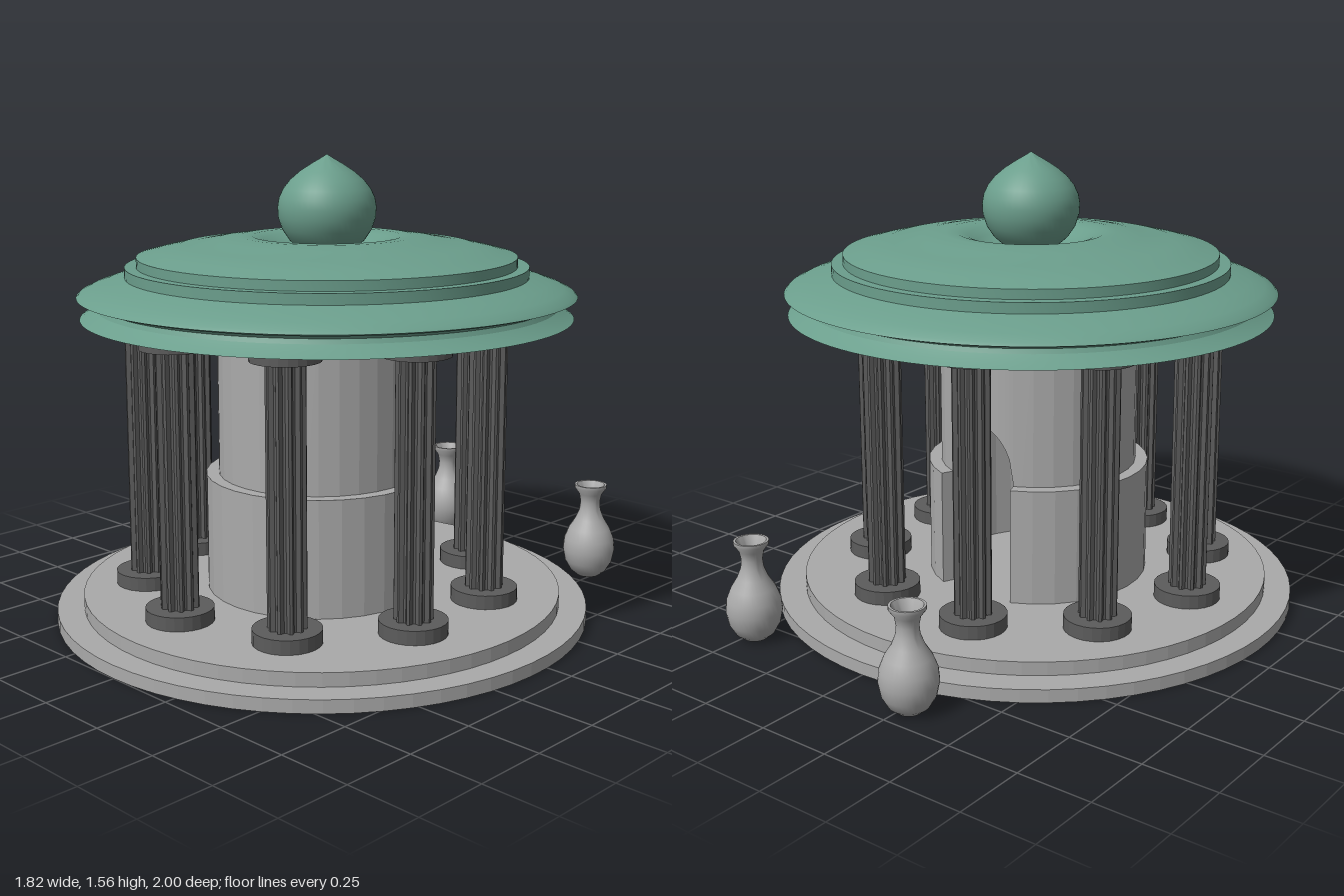
import * as THREE from 'three';
import { toCreasedNormals } from 'three/addons/utils/BufferGeometryUtils.js';

const mat = (name, color) => {
  const m = new THREE.MeshStandardMaterial({ color });
  m.name = name;
  return m;
};

export function createModel() {
  const stone = mat('pale stone', 0xaaaaaa);
  const dark = mat('dark stone', 0x5c5c5c);
  const copper = mat('green copper', 0x6b9e8c);
  const model = new THREE.Group();
  model.name = 'rotunda';

  const add = (parent, name, geo, material, x = 0, y = 0, z = 0) => {
    const mesh = new THREE.Mesh(geo, material);
    mesh.name = name;
    mesh.position.set(x, y, z);
    parent.add(mesh);
    return mesh;
  };
  const vec = (pts) => pts.map(([x, y]) => new THREE.Vector2(x, y));
  const lathe = (pts, segs = 64, crease = 0.45) =>
    toCreasedNormals(new THREE.LatheGeometry(vec(pts), segs), crease);
  const disc = (r, h, segs) =>
    toCreasedNormals(new THREE.CylinderGeometry(r, r, h, segs), 0.01);

  // Curved wall between two angles, with a lower edge given by a rule
  const arcWall = (rIn, rOut, a0, a1, n, bottom, top) => {
    const pos = [], idx = [];
    for (let i = 0; i <= n; i++) {
      const a = a0 + ((a1 - a0) * i) / n, s = Math.sin(a), c = Math.cos(a), b = bottom(a);
      for (const [r, y] of [[rOut, b], [rOut, top], [rIn, top], [rIn, b]]) pos.push(r * s, y, r * c);
    }
    for (let i = 0; i < n; i++) {
      for (let j = 0; j < 4; j++) {
        const k = (j + 1) % 4, p = i * 4, q = p + 4;
        idx.push(p + j, q + j, q + k, p + j, q + k, p + k);
      }
    }
    const e = n * 4;
    idx.push(0, 1, 2, 0, 2, 3, e, e + 2, e + 1, e, e + 3, e + 2);
    const g = new THREE.BufferGeometry();
    g.setAttribute('position', new THREE.Float32BufferAttribute(pos, 3));
    g.setIndex(idx);
    const flat = g.toNonIndexed();
    flat.computeVertexNormals();
    return flat;
  };

  // Stepped round base
  add(model, 'lowerStep', disc(0.912, 0.044, 64), stone, 0, 0.022, 0.088);
  add(model, 'upperStep', disc(0.82, 0.046, 64), stone, 0, 0.067, 0.09);

  // Round inner chamber with an arched doorway at the back
  const chamber = new THREE.Group();
  chamber.name = 'chamber';
  chamber.position.set(-0.01, 0, 0.095);
  model.add(chamber);
  const half = 0.39, a0 = -Math.PI + half, a1 = Math.PI - half;
  const floor = () => 0.09;
  const arch = (a) => 0.5 + 0.19 * Math.sqrt(Math.max(0, 1 - ((a - Math.PI) / half) ** 2));
  add(chamber, 'lowerWall', arcWall(0.335, 0.385, a0, a1, 28, floor, 0.49), stone);
  add(chamber, 'upperWall', arcWall(0.305, 0.342, a0, a1, 28, floor, 1.035), stone);
  add(chamber, 'doorArch', arcWall(0.305, 0.342, a1, Math.PI + half, 20, arch, 1.035), stone);

  // Ring of nine fluted columns
  const flutes = 10, outline = [];
  for (let i = 0; i < flutes * 4; i++) {
    const a = (i / (flutes * 4)) * Math.PI * 2, r = i % 4 < 2 ? 0.063 : 0.05;
    outline.push([r * Math.cos(a), r * Math.sin(a)]);
  }
  const shaft = new THREE.ExtrudeGeometry(new THREE.Shape(vec(outline)), {
    depth: 0.85, bevelEnabled: false,
  }).rotateX(-Math.PI / 2);
  const pad = disc(0.112, 0.047, 24);
  for (let i = 0; i < 9; i++) {
    const a = ((-4.5 + 40 * i) * Math.PI) / 180;
    const column = new THREE.Group();
    column.name = 'column' + (i + 1);
    column.position.set(-0.013 + 0.59 * Math.sin(a), 0, 0.093 + 0.59 * Math.cos(a));
    column.rotation.y = a;
    add(column, 'columnBase', pad, dark, 0, 0.1135, 0);
    add(column, 'columnShaft', shaft, dark, 0, 0.134, 0);
    add(column, 'columnCapital', pad, dark, 0, 1.0075, 0);
    model.add(column);
  }

  // Tiered roof with a grooved rim and a shallow dish under the finial
  add(model, 'roof', lathe([
    [0, 1.03], [0.825, 1.03], [0.795, 1.047], [0.772, 1.065], [0.765, 1.08], [0.775, 1.09],
    [0.81, 1.095], [0.835, 1.103], [0.825, 1.113], [0.79, 1.13], [0.74, 1.147], [0.675, 1.163],
    [0.675, 1.198], [0.636, 1.198], [0.636, 1.23], [0.57, 1.247], [0.495, 1.264], [0.465, 1.266],
    [0.37, 1.283], [0.29, 1.294], [0.25, 1.294], [0.215, 1.284], [0.18, 1.264], [0.145, 1.244],
    [0.1, 1.236], [0, 1.234],
  ], 96), copper, 0, 0, 0.062);

  // Pointed bulb on top
  add(model, 'finial', lathe([
    [0, 1.222], [0.05, 1.229], [0.09, 1.248], [0.125, 1.278], [0.15, 1.315], [0.163, 1.355],
    [0.165, 1.39], [0.16, 1.42], [0.146, 1.45], [0.122, 1.48], [0.09, 1.507], [0.05, 1.533],
    [0.022, 1.549], [0, 1.563],
  ], 48), copper, 0, 0, 0.062);

  // Two open vases behind the building
  const vase = lathe([
    [0, 0], [0.04, 0], [0.065, 0.02], [0.085, 0.055], [0.094, 0.1], [0.09, 0.14], [0.074, 0.18],
    [0.052, 0.215], [0.038, 0.25], [0.035, 0.28], [0.041, 0.31], [0.058, 0.333], [0.058, 0.345],
    [0.05, 0.345], [0.034, 0.31], [0.028, 0.28], [0.03, 0.25], [0, 0.22],
  ], 32, 0.7);
  add(model, 'vaseLeft', vase, stone, 0.476, 0, -0.832);
  add(model, 'vaseRight', vase, stone, -0.272, 0, -0.908);

  return model;
}
